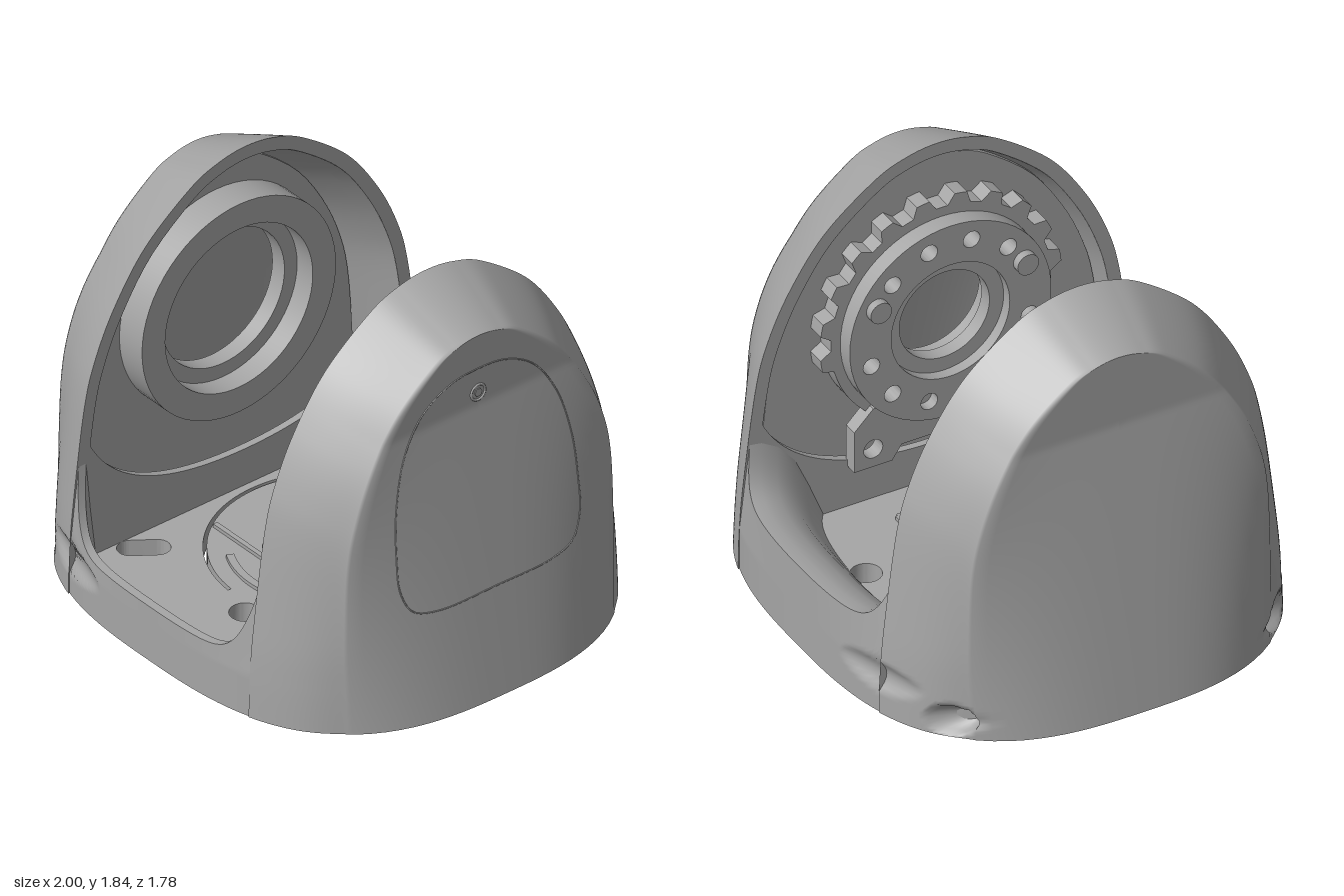
import * as THREE from 'three';
import { toCreasedNormals } from 'three/addons/utils/BufferGeometryUtils.js';

const metal = new THREE.MeshStandardMaterial({ color: 0xa6a6a6, side: THREE.DoubleSide });
metal.name = 'satin grey';
const BASE = 0.22, INNER = 0.52, AXIS = 1.1;
const lerp = THREE.MathUtils.lerp;

function add(parent, name, geometry) {
  const mesh = new THREE.Mesh(geometry, metal);
  mesh.name = name;
  parent.add(mesh);
  return mesh;
}

// Surface from a rule f(i, j) -> [x, y, z]
function grid(nu, nv, f) {
  const pos = [], idx = [];
  for (let i = 0; i <= nu; i++) for (let j = 0; j <= nv; j++) pos.push(...f(i, j));
  for (let i = 0; i < nu; i++) for (let j = 0; j < nv; j++) {
    const a = i * (nv + 1) + j, b = a + nv + 1;
    idx.push(a, b, a + 1, b, b + 1, a + 1);
  }
  const g = new THREE.BufferGeometry();
  g.setAttribute('position', new THREE.Float32BufferAttribute(pos, 3));
  g.setIndex(idx);
  g.computeVertexNormals();
  return g;
}

// Footprint: a rounded superellipse
const oval = x => .89 * (1 - Math.abs(x) ** 2.8) ** (1 / 2.8);
const ovalX = z => Math.max(0, 1 - Math.abs(z / .89) ** 2.8) ** (1 / 2.8);

// Arch curves (z, y): the inner edge of an arm, and the soft ridge of its outer face
function archCurve(half) {
  const back = half.slice(0, -1).reverse().map(([z, y]) => [-z, y]);
  return new THREE.SplineCurve([...half, ...back].map(p => new THREE.Vector2(...p)));
}
const edge = archCurve([[.842, .22], [.837, .4], [.82, .6], [.768, 1], [.715, 1.2], [.62, 1.4], [.475, 1.6], [.265, 1.765], [.13, 1.822], [0, 1.84]]);
const ridge = archCurve([[.62, .22], [.625, .4], [.63, .6], [.62, .92], [.58, 1.12], [.5, 1.31], [.37, 1.5], [.2, 1.645], [.1, 1.69], [0, 1.705]]);
const baseWeight = y => Math.max(0, (1.4 - y) / 1.18);
const faceX = (y, z) => 0.82 + baseWeight(y) * Math.max(0, ovalX(z) - 0.82);

// Scooped reliefs in the lower corners on the -x side
function dent([x, y, z]) {
  const cut = (cx, cy, rx, ry, depth) => depth * Math.max(0, 1 - ((x - cx) / rx) ** 2 - ((y - cy) / ry) ** 2);
  return [x, y, z - Math.sign(z) * (cut(-.5, .38, .2, .062, .03) + cut(-.78, .29, .075, .065, .1))];
}

const shrink = ([x, y, z]) => [INNER + (x - INNER) * .86, BASE + (y - BASE) * .965, z * .935];
function armPoint(t, e) {
  const a = edge.getPoint(t), b = ridge.getPoint(t);
  if (e > 1) {
    const z = b.x * (2 - e);
    return [faceX(b.y, z), b.y, z];
  }
  const x = lerp(INNER, faceX(b.y, b.x), e), chord = lerp(a.x, b.x, e) * (1 + .015 * Math.sin(Math.PI * e));
  return [x, lerp(a.y, b.y, e), lerp(chord, oval(x) * a.x / oval(INNER), baseWeight(a.y) * (1 - e ** 6))];
}

function buildArm(side) {
  const arm = new THREE.Group();
  const N = 216, M = 36, flip = ([x, y, z]) => [x * side, y, z];
  const e = j => j < 24 ? j / 24 : 1 + (j - 24) / 12;
  add(arm, 'armOuterSkin', grid(N, M, (i, j) => dent(flip(armPoint(i / N, e(j))))));
  add(arm, 'armInnerSkin', grid(72, M, (i, j) => flip(shrink(armPoint(i / 72, e(j))))));
  add(arm, 'armRim', grid(N, 1, (i, j) => {
    const p = armPoint(i / N, 0);
    return flip(j ? shrink(p) : p);
  }));
  for (const t of [0, 1]) add(arm, 'armFootRim', grid(M, 1, (i, j) => {
    const p = armPoint(t, e(i));
    return flip(j ? shrink(p) : p);
  }));
  // low inner wall closing the opening below
  const s = new THREE.Shape();
  s.moveTo(-.8, .26); s.lineTo(.8, .26); s.lineTo(.76, .88);
  s.bezierCurveTo(.66, .62, .4, .5, 0, .5);
  s.bezierCurveTo(-.4, .5, -.66, .62, -.76, .88);
  add(arm, 'armLowerWall', sideways(s, .03, side > 0 ? .52 : -.55));
  return arm;
}

// Extrude a (z, y) shape along x, starting at x
function sideways(shape, depth, x) {
  const g = new THREE.ExtrudeGeometry(shape, { depth, bevelEnabled: false, curveSegments: 32 });
  g.rotateY(Math.PI / 2);
  g.translate(x, 0, 0);
  return toCreasedNormals(g, .5);
}
// Extrude an (x, -z) shape upward from y
function upward(shape, depth, y) {
  const g = new THREE.ExtrudeGeometry(shape, { depth, bevelEnabled: false, curveSegments: 24 });
  g.rotateX(-Math.PI / 2);
  g.translate(0, y, 0);
  return toCreasedNormals(g, .5);
}
const circle = (x, y, r) => new THREE.Path().absarc(x, y, r, 0, Math.PI * 2, true);
function disc(r, hole, cy = AXIS) {
  const s = new THREE.Shape();
  s.absarc(0, cy, r, 0, Math.PI * 2);
  s.holes.push(circle(0, cy, hole));
  return s;
}
function archShape(e, k, hole) {
  const pts = [];
  for (let i = 0; i <= 64; i++) {
    const p = edge.getPoint(i / 64).lerp(ridge.getPoint(i / 64), e);
    pts.push(new THREE.Vector2(p.x * k, Math.max(.26, BASE + (p.y - BASE) * .96)));
  }
  const s = new THREE.Shape(pts);
  s.holes.push(circle(0, AXIS, hole));
  return s;
}

// Low front or back wall, curving up into the arms; the back one slopes far in to the floor
function buildWall(dir) {
  const wall = new THREE.Group(), low = dir > 0 ? .46 : .58;
  const slope = dir > 0 ? [[0, 1], [.035, 1], [.055, .5], [.08, 0]]
    : [[0, 1], [.05, .98], [.12, .88], [.19, .68], [.25, .36], [.31, 0]];
  const at = i => {
    const x = INNER * (i / 40 - 1), n = Math.abs(x) / INNER;
    const taper = y => y < .6 ? lerp(1, .972, Math.max(0, y - .4) / .2) : .972 - (y - .6) * .15;
    return { x, top: low + (.76 - low) * n ** 9, zAt: y => oval(x) * lerp(1, taper(y), n * n) };
  };
  add(wall, 'wallOuterFace', grid(80, 24, (i, j) => {
    const { x, top, zAt } = at(i), y = lerp(BASE, top, j / 24);
    return dent([x, y, dir * zAt(y)]);
  }));
  add(wall, 'wallInnerFace', toCreasedNormals(grid(80, slope.length - 1, (i, j) => {
    const { x, top, zAt } = at(i), [dz, f] = slope[j];
    return [x, lerp(.34, top, f), dir * (zAt(top) - dz)];
  }), .6));
  add(wall, 'wallFootRim', toCreasedNormals(grid(80, 2, (i, j) => {
    const { x } = at(i);
    return [x, j < 2 ? BASE : .26, dir * (oval(x) - (j ? .06 : 0))];
  }), .6));
  return wall;
}

// Floor plate with its bores, slots and curved slit
function floorShape() {
  const pts = [];
  for (let i = 0; i <= 60; i++) { const x = lerp(-.53, .93, i / 60); pts.push([x, oval(x / .94) * .94]); }
  const s = new THREE.Shape([...pts, ...pts.slice().reverse().map(([x, z]) => [x, -z])].map(p => new THREE.Vector2(...p)));
  for (const [x, z, r] of [[0, 0, .13], [.12, .53, .06], [.12, -.53, .06], [.32, .68, .066], [.32, -.69, .032], [.48, .67, .085],
    [.48, -.68, .085], [.68, 0, .1], [.66, .38, .14], [.74, -.38, .1]])
    s.holes.push(circle(x, -z, r));
  for (const d of [1, -1]) {
    const a = Math.PI * .3 * -d, slot = new THREE.Path();
    const c = [-.44, d * .55], u = [Math.cos(a) * .05, Math.sin(a) * .05];
    slot.absarc(c[0] + u[0], c[1] + u[1], .05, a - Math.PI / 2, a + Math.PI / 2, false);
    slot.absarc(c[0] - u[0], c[1] - u[1], .05, a + Math.PI / 2, a + Math.PI * 1.5, false);
    s.holes.push(slot);
  }
  const slit = new THREE.Path();
  slit.absarc(0, 0, .488, Math.PI * .52, Math.PI * 1.48, false);
  slit.absarc(0, 0, .474, Math.PI * 1.48, Math.PI * .52, true);
  s.holes.push(slit);
  return s;
}

export function createModel() {
  const model = new THREE.Group();
  for (const side of [1, -1]) {
    const arm = buildArm(side), wall = buildWall(side);
    arm.name = side > 0 ? 'leftArm' : 'rightArm';
    wall.name = side > 0 ? 'frontWall' : 'backWall';
    model.add(arm, wall);
  }

  // Floor, lobed hub and raised ribs
  add(model, 'floorPlate', upward(floorShape(), .09, .25));
  const lobes = new THREE.Shape();
  for (let i = 0; i <= 96; i++) {
    const a = i / 96 * Math.PI * 2, r = .235 + .04 * Math.cos(6 * a);
    lobes[i ? 'lineTo' : 'moveTo'](r * Math.cos(a), r * Math.sin(a));
  }
  lobes.holes.push(circle(0, 0, .13));
  for (let i = 0; i < 6; i++) lobes.holes.push(circle(.19 * Math.cos(i * Math.PI / 3), .19 * Math.sin(i * Math.PI / 3), .034));
  add(model, 'lobedHub', upward(lobes, .03, .335));
  for (const d of [1, -1]) {
    const rib = new THREE.Shape();
    rib.absarc(0, 0, .41, d * Math.PI / 2 - .5, d * Math.PI / 2 + .5, false);
    rib.absarc(0, 0, .38, d * Math.PI / 2 + .5, d * Math.PI / 2 - .5, true);
    add(model, 'floorRib', upward(rib, .02, .335));
    add(model, 'floorFrameSide', new THREE.BoxGeometry(.74, .02, .02)).position.set(-.01, .345, d * .26);
  }
  add(model, 'floorFrameEnd', new THREE.BoxGeometry(.02, .02, .52)).position.set(.36, .345, 0);

  // Round foot with bolts
  const profile = [[.13, .26], [.13, .03], [.17, .03], [.17, .02], [.24, .02], [.28, .06], [.28, .16], [.31, .16], [.31, .26]];
  add(model, 'foot', toCreasedNormals(new THREE.LatheGeometry(profile.map(p => new THREE.Vector2(...p)), 64), .4));
  for (let i = 0; i < 6; i++) {
    const a = (i + .5) * Math.PI / 3;
    add(model, 'footBolt', new THREE.CylinderGeometry(.05, .036, .025, 20)).position.set(.195 * Math.cos(a), .0125, .195 * Math.sin(a));
  }
  add(model, 'cableGuide', new THREE.BoxGeometry(.14, .09, .14)).position.set(-.3, .205, 0);

  // Right arm: recessed wall with a stepped bearing ring
  add(model, 'rightBackWall', sideways(archShape(.65, .93, .3), .03, -.72));
  add(model, 'bearingRing', sideways(disc(.46, .35), .14, -.70));
  add(model, 'bearingStep', sideways(disc(.36, .29), .07, -.72));

  // Left arm: toothed plate, bolted drive ring and lower bracket
  add(model, 'leftBackWall', sideways(archShape(.2, .93, .22), .03, .57));
  const gear = new THREE.Shape();
  for (let i = 0; i < 120; i++) {
    const a = i / 120 * Math.PI * 2, r = i < 66 && i % 6 < 3 ? .51 : .465;
    gear[i ? 'lineTo' : 'moveTo'](r * Math.cos(a - .2), AXIS + r * Math.sin(a - .2));
  }
  gear.holes.push(circle(0, AXIS, .22));
  add(model, 'toothedPlate', sideways(gear, .08, .495));
  const drive = disc(.425, .25);
  for (let i = 0; i < 12; i++) {
    const a = (i + .5) * Math.PI / 6;
    if (i !== 0 && i !== 5) drive.holes.push(circle(.345 * Math.cos(a), AXIS + .345 * Math.sin(a), .035));
  }
  add(model, 'driveRing', sideways(drive, .075, .425));
  add(model, 'driveInnerRing', sideways(disc(.26, .19), .06, .47));
  const bracket = new THREE.Shape([[-.38, .52], [-.22, .52], [-.18, .58], [.18, .58], [.22, .52], [.38, .52], [.38, .7], [.3, .78], [-.3, .78], [-.38, .7]]
    .map(p => new THREE.Vector2(...p)));
  for (const d of [1, -1]) {
    const bolt = add(model, 'driveBolt', new THREE.CylinderGeometry(.045, .045, .035, 20));
    bolt.rotation.z = Math.PI / 2;
    bolt.position.set(.41, 1.26, d * .31);
    bracket.holes.push(circle(d * .3, .6, .04));
  }
  add(model, 'bracket', sideways(bracket, .06, .47));

  // Cover outline and screw on the left arm's outer face
  const half = [[0, 1.56], [.13, 1.545], [.26, 1.47], [.36, 1.32], [.415, 1.12], [.43, .93], [.425, .78], [.38, .69], [.28, .66], [0, .66]];
  const loop = [...half, ...half.slice(1, -1).reverse().map(([z, y]) => [-z, y])];
  const path = new THREE.CatmullRomCurve3(loop.map(([z, y]) => new THREE.Vector3(faceX(y, z), y, z)), true);
  add(model, 'coverOutline', new THREE.TubeGeometry(path, 120, .003, 6, true));
  const ring = add(model, 'coverScrewRing', new THREE.TorusGeometry(.033, .005, 8, 28));
  ring.rotation.y = Math.PI / 2;
  ring.position.set(.82, 1.455, 0);
  const screw = add(model, 'coverScrew', new THREE.CylinderGeometry(.018, .018, .008, 6));
  screw.rotation.z = Math.PI / 2;
  screw.position.set(.82, 1.455, 0);
  return model;
}
